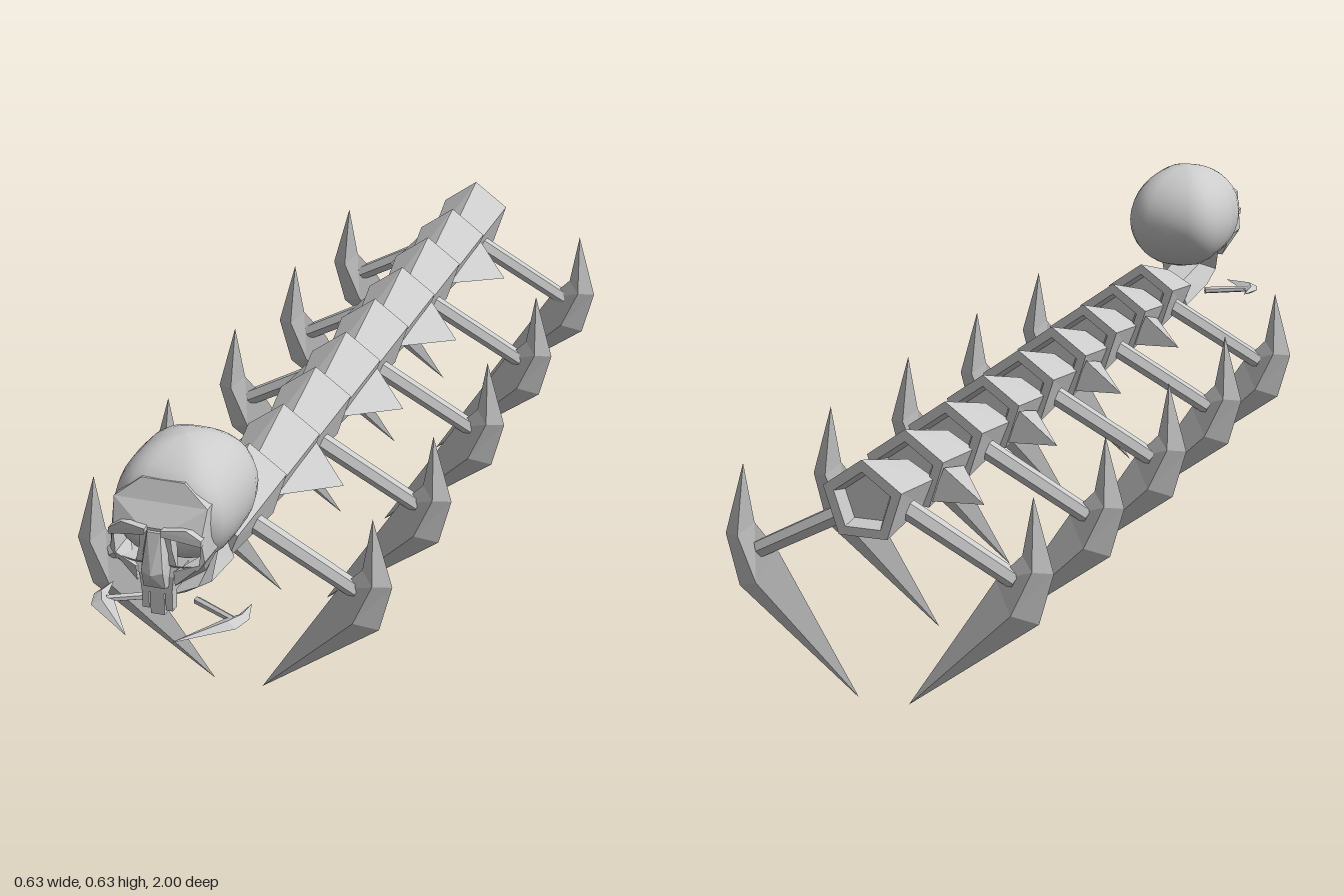
import * as THREE from 'three';
import { ConvexGeometry } from 'three/addons/geometries/ConvexGeometry.js';

const V = (x, y, z) => new THREE.Vector3(x, y, z);
const flat = new THREE.MeshStandardMaterial({ color: 0xcccccc, flatShading: true });
const smooth = new THREE.MeshStandardMaterial({ color: 0xcccccc });

function add(parent, name, geometry, material = flat) {
  const mesh = new THREE.Mesh(geometry, material);
  mesh.name = name;
  parent.add(mesh);
  return mesh;
}

// Skin a list of equal-length rings, right-handed about the direction of travel
function loft(rings) {
  const n = rings[0].length, pos = [];
  const tri = (...p) => p.forEach(v => pos.push(v.x, v.y, v.z));
  for (let i = 0; i < rings.length - 1; i++) {
    for (let j = 0; j < n; j++) {
      const k = (j + 1) % n, a = rings[i], b = rings[i + 1];
      tri(a[j], a[k], b[k]);
      tri(a[j], b[k], b[j]);
    }
  }
  const first = rings[0], last = rings[rings.length - 1];
  for (let j = 1; j < n - 1; j++) {
    tri(first[0], first[j + 1], first[j]);
    tri(last[0], last[j], last[j + 1]);
  }
  const g = new THREE.BufferGeometry();
  g.setAttribute('position', new THREE.Float32BufferAttribute(pos, 3));
  g.computeVertexNormals();
  return g;
}

// Five-sided ring facing +z, with its point up or down
function pentagon(rx, ry, cy, z, start = Math.PI / 2) {
  return Array.from({ length: 5 }, (_, i) => {
    const a = start + i * Math.PI * 2 / 5;
    return V(rx * Math.cos(a), cy + ry * Math.sin(a), z);
  });
}

// Straight limb ending in a double-pointed claw; s = 1 left, -1 right
function makeLeg(s, name) {
  const leg = new THREE.Group();
  leg.name = name;
  const a = V(s * 0.03, 0.365, 0), b = V(s * 0.245, 0.25, 0);
  const rod = add(leg, 'limb', new THREE.CylinderGeometry(0.017, 0.019, a.distanceTo(b), 6));
  rod.position.copy(a).lerp(b, 0.5);
  rod.quaternion.setFromUnitVectors(V(0, 1, 0), b.clone().sub(a).normalize());

  // Each claw section: outer edge, front ridge, inner edge, back ridge
  const section = (out, ridge, inn, half, z) => {
    const ring = [
      V(s * out[0], out[1], z), V(s * ridge[0], ridge[1], z + half),
      V(s * inn[0], inn[1], z), V(s * ridge[0], ridge[1], z - half)];
    return s > 0 ? ring : ring.reverse();
  };
  const top = [0.275, 0.405], tip = [0.048, 0];
  add(leg, 'claw', loft([
    section(top, top, top, 0, 0.005),
    section([0.313, 0.27], [0.28, 0.275], [0.255, 0.297], 0.02, 0.003),
    section([0.287, 0.175], [0.243, 0.193], [0.207, 0.247], 0.024, 0),
    section(tip, tip, tip, 0, -0.02)]));
  return leg;
}

function makeBody(root) {
  const step = 0.186;
  for (let k = 0; k < 9; k++) {
    const z = -1 + k * step;
    // Tapered segment with a recessed rear end
    add(root, 'bodySegment', loft([
      pentagon(0.045, 0.045, 0.393, z + 0.025),
      pentagon(0.056, 0.056, 0.393, z),
      pentagon(0.077, 0.077, 0.394, z),
      pentagon(0.054, 0.044, 0.368, z + step + 0.015)]));
    for (const s of [1, -1]) {
      if (k % 2 === 0) {
        const leg = makeLeg(s, s > 0 ? 'leftLeg' : 'rightLeg');
        leg.position.z = z + 0.095;
        root.add(leg);
      } else {
        // Drooping side fin
        add(root, s > 0 ? 'leftFin' : 'rightFin', new ConvexGeometry([
          V(s * 0.045, 0.36, z + 0.165), V(s * 0.07, 0.405, z + 0.01),
          V(s * 0.045, 0.34, z + 0.01), V(s * 0.135, 0.335, z + 0.038)]));
      }
    }
  }
}

function makeHead(root) {
  const head = new THREE.Group();
  head.name = 'head';
  root.add(head);

  // Cranium: boxy ellipsoid with a flattened face and hollowed front underside
  const cranium = new THREE.SphereGeometry(1, 24, 18);
  const p = cranium.attributes.position;
  const boxy = (v, r) => r < 1e-6 ? 0 : Math.sign(v) * Math.pow(Math.abs(v) / r, 0.65) * r;
  for (let i = 0; i < p.count; i++) {
    const r = Math.hypot(p.getX(i), p.getZ(i));
    const x = boxy(p.getX(i), r) * 0.112, y0 = 0.515 + p.getY(i) * 0.115;
    const z = Math.min(0.8 + boxy(p.getZ(i), r) * 0.136, 0.912);
    const floor = 0.4 + 0.04 * THREE.MathUtils.smoothstep(z, 0.74, 0.79);
    p.setXYZ(i, x, Math.max(y0, floor), z);
  }
  cranium.computeVertexNormals();
  add(head, 'cranium', cranium, smooth);

  // Face plate with two eye sockets, its brow sloping back
  const half = [[0.04, 0.588], [0.087, 0.552], [0.088, 0.46], [0.076, 0.442], [0.032, 0.425], [0.028, 0.39]];
  const face = new THREE.Shape([...half, ...half.map(([x, y]) => [-x, y]).reverse()]
    .map(([x, y]) => new THREE.Vector2(x, y)));
  for (const s of [1, -1]) {
    face.holes.push(new THREE.Path([[0.028, 0.515], [0.082, 0.5], [0.078, 0.45], [0.038, 0.447], [0.03, 0.48]]
      .map(([x, y]) => new THREE.Vector2(s * x, y))));
  }
  const plate = new THREE.ExtrudeGeometry(face, { depth: 0.07, bevelEnabled: false });
  const q = plate.attributes.position;
  for (let i = 0; i < q.count; i++) {
    const slope = Math.max(0, q.getY(i) - 0.515) * 0.55 + Math.abs(q.getX(i)) * 0.12;
    q.setZ(i, q.getZ(i) + 0.882 - slope);
  }
  plate.computeVertexNormals();
  add(head, 'facePlate', plate);

  // Overhanging brow ridges and cheekbones
  for (const s of [1, -1]) {
    add(head, 'browRidge', new ConvexGeometry([
      V(s * 0.015, 0.518, 0.962), V(s * 0.015, 0.507, 0.962), V(s * 0.086, 0.505, 0.952), V(s * 0.086, 0.493, 0.952),
      V(s * 0.06, 0.522, 0.955), V(s * 0.015, 0.518, 0.91), V(s * 0.086, 0.493, 0.89), V(s * 0.086, 0.505, 0.89)]));
    add(head, 'cheekbone', new ConvexGeometry([
      V(s * 0.086, 0.455, 0.94), V(s * 0.035, 0.44, 0.955), V(s * 0.035, 0.41, 0.95),
      V(s * 0.088, 0.46, 0.87), V(s * 0.065, 0.41, 0.88), V(s * 0.035, 0.41, 0.88)]));
  }

  // Nose bridge flaring toward the nostrils
  add(head, 'nose', new ConvexGeometry([1, -1].flatMap(s => [
    V(s * 0.012, 0.51, 0.955), V(s * 0.02, 0.44, 0.968), V(s * 0.02, 0.405, 0.958),
    V(s * 0.028, 0.51, 0.92), V(s * 0.03, 0.405, 0.92)]).concat([V(0, 0.435, 0.975)])));

  // Upper teeth
  for (const x of [-0.022, 0, 0.022]) {
    const h = x ? 0.05 : 0.06;
    add(head, 'tooth', new THREE.BoxGeometry(x ? 0.013 : 0.026, h, 0.02)).position.set(x, 0.407 - h / 2, 0.937);
  }

  // Bent neck with a keeled underside, rising into the skull
  const down = -Math.PI / 2;
  const rise = [V(0, 0.355, 0.89), V(0.05, 0.375, 0.88), V(0.072, 0.44, 0.83), V(-0.072, 0.44, 0.83), V(-0.05, 0.375, 0.88)];
  add(head, 'neck', loft([
    pentagon(0.045, 0.043, 0.349, 0.685, down),
    pentagon(0.052, 0.043, 0.366, 0.815, down),
    rise]));

  // Mandibles: small limbs laid flat, pointing forward
  for (const s of [1, -1]) {
    const jaw = makeLeg(s, s > 0 ? 'leftMandible' : 'rightMandible');
    jaw.scale.setScalar(0.4);
    jaw.rotation.x = -Math.PI / 2;
    jaw.position.set(s * 0.022, 0.33, 0.995);
    head.add(jaw);
  }
}

export function createModel() {
  const root = new THREE.Group();
  root.name = 'skullCentipede';
  makeBody(root);
  makeHead(root);
  return root;
}
